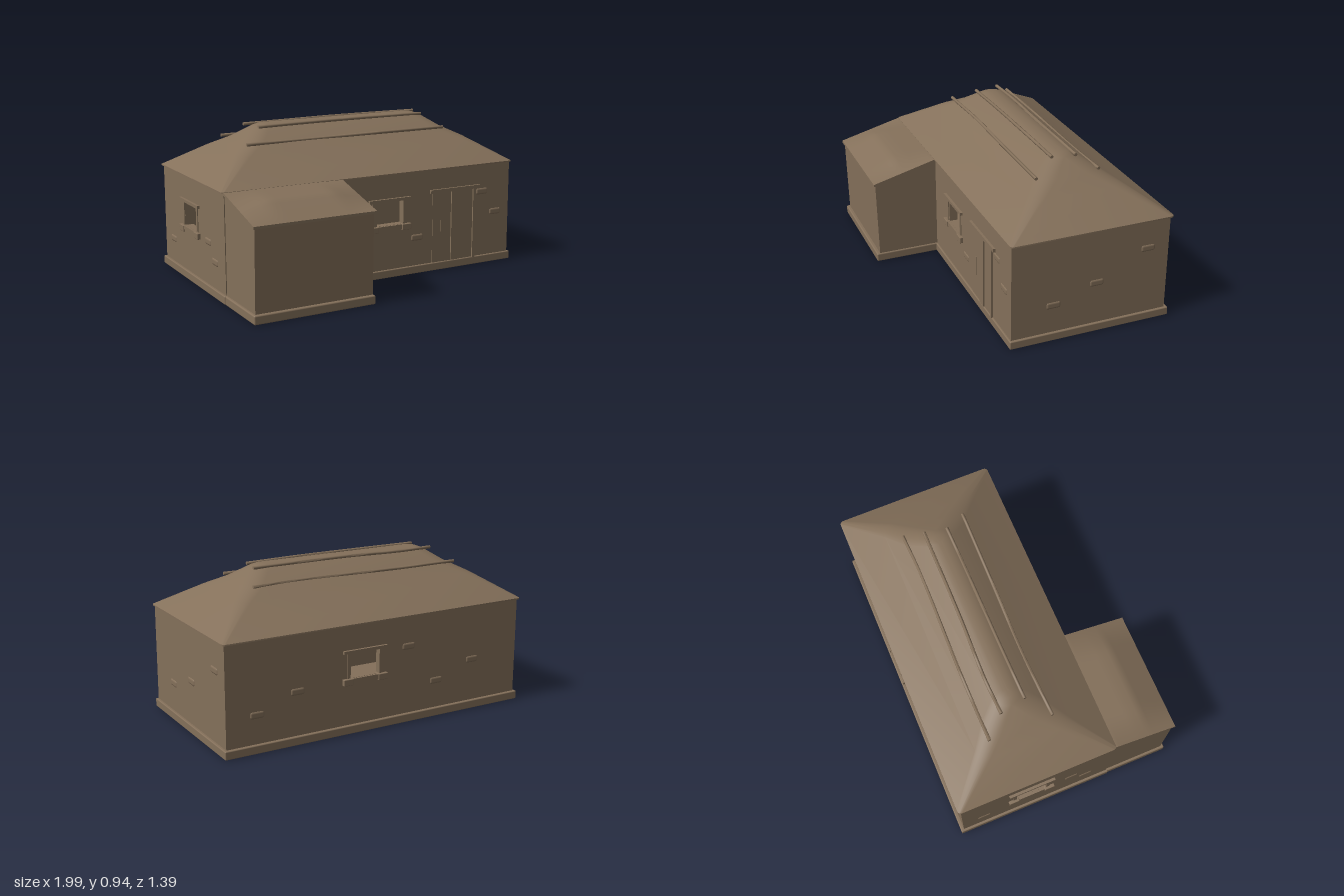
import * as THREE from 'three';
import { toCreasedNormals } from 'three/addons/utils/BufferGeometryUtils.js';
import { RoundedBoxGeometry } from 'three/addons/geometries/RoundedBoxGeometry.js';

const earth = new THREE.MeshStandardMaterial({ color: 0x84705a });
earth.name = 'earthBrown';

function add(parent, name, geometry) {
  const mesh = new THREE.Mesh(geometry, earth);
  mesh.name = name;
  parent.add(mesh);
  return mesh;
}

// Box given by its minimum and maximum corners
function block(parent, name, x0, x1, y0, y1, z0, z1, r = 0) {
  const s = [x1 - x0, y1 - y0, z1 - z0];
  const g = r ? new RoundedBoxGeometry(...s, 2, r) : new THREE.BoxGeometry(...s);
  add(parent, name, g).position.set((x0 + x1) / 2, (y0 + y1) / 2, (z0 + z1) / 2);
}

// Wall in its own plane: u along the wall, v up, outer face at local z = 0
function wall(parent, name, u0, u1, hole) {
  const shape = new THREE.Shape();
  shape.moveTo(u0, 0.03).lineTo(u1, 0.03).lineTo(u1, 0.643).lineTo(u0, 0.643).closePath();
  if (hole) {
    const [a, b] = hole;
    const p = new THREE.Path();
    p.moveTo(a, 0.33).lineTo(a, 0.48).lineTo(b, 0.48).lineTo(b, 0.33).closePath();
    shape.holes.push(p);
  }
  const g = new THREE.ExtrudeGeometry(shape, { depth: 0.05, bevelEnabled: false });
  add(parent, name, g.translate(0, 0, -0.05));
}

// Window surround: lintel, jambs and a sill of three stones
function windowTrim(parent, c) {
  block(parent, 'lintel', c - 0.145, c + 0.145, 0.478, 0.496, -0.03, 0.016);
  for (const s of [-1, 1]) {
    const j = c + s * 0.107, e = c + s * 0.115;
    block(parent, 'windowJamb', j - 0.011, j + 0.011, 0.325, 0.482, -0.03, 0.005);
    block(parent, 'sillStone', e - 0.032, e + 0.032, 0.293, 0.331, -0.03, 0.02, 0.004);
  }
  block(parent, 'sill', c - 0.09, c + 0.09, 0.3, 0.329, -0.03, 0.014);
}

function stones(parent, list) {
  for (const [u, v] of list)
    block(parent, 'wallStone', u - 0.047, u + 0.047, v - 0.024, v + 0.024, -0.04, 0.005, 0.016);
}

// Roof skin through rounded rectangular rings [halfX, halfZ, y]
function ringRoof(rings, zc) {
  const N = 7, M = N * 4, pos = [], idx = [];
  for (const [a, b, y] of rings) {
    const r = Math.min(b, 0.022 + (0.5 - b) * 0.22);
    for (let s = 0; s < 4; s++)
      for (let k = 0; k < N; k++) {
        const t = Math.PI / 2 * (1 - s - k / (N - 1));
        const sx = s < 2 ? 1 : -1, sz = s % 3 ? -1 : 1;
        pos.push(sx * Math.max(0, a - r) + r * Math.cos(t), y, zc + sz * (b - r) + r * Math.sin(t));
      }
  }
  for (let r = 0; r < rings.length - 1; r++)
    for (let i = 0; i < M; i++) {
      const j = (i + 1) % M, A = r * M + i, B = r * M + j;
      idx.push(A, B, B + M, A, B + M, A + M);
    }
  const g = new THREE.BufferGeometry();
  g.setAttribute('position', new THREE.Float32BufferAttribute(pos, 3));
  g.setIndex(idx);
  return toCreasedNormals(g, 0.85);
}

// Height of a piecewise linear profile at z
function sample(points, z) {
  for (let i = 1; i < points.length; i++) {
    const [z0, y0] = points[i - 1], [z1, y1] = points[i];
    if (z <= z1) return y0 + (y1 - y0) * (z - z0) / (z1 - z0);
  }
  return points[points.length - 1][1];
}

// Lean-to roof: sloping slab whose upper side swells towards the middle
function annexRoof() {
  const x0 = -0.983, x1 = -0.235, z0 = 0.25, z1 = 0.698;
  const crown = [[0.25, 0.65], [0.3, 0.647], [0.45, 0.638], [0.52, 0.629], [0.6, 0.59], [0.7, 0.54]];
  const g = new THREE.BoxGeometry(x1 - x0, 1, z1 - z0, 20, 1, 18);
  g.translate((x0 + x1) / 2, 0, (z0 + z1) / 2);
  const p = g.attributes.position;
  for (let i = 0; i < p.count; i++) {
    const x = p.getX(i), z = p.getZ(i);
    const eave = 0.646 - Math.max(0, z - 0.3) * 0.265;
    const rise = Math.min(1, (x - x0) / 0.17, (x1 - x) / 0.17);
    p.setY(i, p.getY(i) > 0 ? eave + (sample(crown, z) - eave) * Math.max(0, rise) : eave - 0.015);
  }
  g.deleteAttribute('normal');
  g.deleteAttribute('uv');
  return toCreasedNormals(g, 0.7);
}

// Slightly crooked roof pole
function pole(points) {
  const curve = new THREE.CatmullRomCurve3(points.map(p => new THREE.Vector3(...p)));
  const shape = new THREE.Shape();
  for (let i = 0; i < 8; i++) {
    const a = i * Math.PI / 4, x = 0.01 * Math.cos(a), y = 0.01 * Math.sin(a);
    if (i) shape.lineTo(x, y); else shape.moveTo(x, y);
  }
  shape.closePath();
  const g = new THREE.ExtrudeGeometry(shape, { steps: 24, extrudePath: curve, bevelEnabled: false });
  g.deleteAttribute('uv');
  return toCreasedNormals(g, 0.9);
}

export function createModel() {
  const house = new THREE.Group();
  house.name = 'house';

  // Raised floor framed by plinth strips, and the annex plinth
  block(house, 'floor', -0.97, 0.97, 0.03, 0.05, -0.665, 0.285);
  for (const z of [-0.69, 0.273]) block(house, 'plinth', -0.993, 0.993, 0.003, 0.053, z, z + 0.03, 0.006);
  for (const x of [-0.993, 0.963]) block(house, 'plinth', x, x + 0.03, 0.003, 0.053, -0.69, 0.303, 0.006);
  block(house, 'annexPlinth', -0.988, -0.24, 0, 0.053, 0.28, 0.697, 0.008);

  // One group per side of the main room
  const side = (name, x, z, turn) => {
    const g = new THREE.Group();
    g.name = name;
    g.position.set(x, 0, z);
    g.rotation.y = turn;
    house.add(g);
    return g;
  };

  const front = side('frontSide', 0, 0.293, 0);
  wall(front, 'frontWall', -0.978, 0.978, [0.004, 0.192]);
  windowTrim(front, 0.09);
  stones(front, [[0.29, 0.23], [0.875, 0.33], [0.77, 0.47]]);

  // Door with raised plank, posts and lintel
  block(front, 'door', 0.4, 0.71, 0.05, 0.497, -0.01, 0.003);
  block(front, 'doorPlank', 0.535, 0.593, 0.055, 0.495, -0.01, 0.012);
  block(front, 'doorPost', 0.698, 0.718, 0.05, 0.497, -0.01, 0.012);
  block(front, 'doorHandle', 0.46, 0.468, 0.2, 0.32, -0.01, 0.007);
  block(front, 'doorLintel', 0.38, 0.75, 0.495, 0.517, -0.02, 0.014);

  const back = side('backSide', 0, -0.671, Math.PI);
  wall(back, 'backWall', -0.978, 0.978, [-0.205, 0.0]);
  windowTrim(back, -0.108);
  stones(back, [[-0.79, 0.22], [-0.54, 0.31], [0.19, 0.46], [0.39, 0.22], [0.65, 0.31]]);

  const right = side('positiveXSide', 0.978, 0, Math.PI / 2);
  wall(right, 'sideWall', -0.293, 0.671, null);
  stones(right, [[-0.038, 0.225], [0.225, 0.312], [0.54, 0.468]]);

  const left = side('negativeXSide', -0.978, 0, -Math.PI / 2);
  wall(left, 'sideWall', -0.671, 0.293, [-0.32, -0.13]);
  windowTrim(left, -0.225);
  stones(left, [[-0.53, 0.2], [0.04, 0.31], [0.14, 0.21]]);

  // Annex body from its side profile
  const profile = new THREE.Shape();
  profile.moveTo(-0.29, 0.03).lineTo(-0.29, 0.638).lineTo(-0.686, 0.533).lineTo(-0.676, 0.03).closePath();
  const annex = new THREE.ExtrudeGeometry(profile, { depth: 0.725, bevelEnabled: false });
  annex.rotateY(Math.PI / 2).translate(-0.973, 0, 0);
  add(house, 'annexWalls', annex);
  add(house, 'annexRoof', annexRoof());

  // Hipped main roof as a thin shell, open to the room below
  const slope = [
    [0.993, 0.496, 0.648], [0.79, 0.28, 0.79], [0.685, 0.185, 0.848],
    [0.585, 0.08, 0.92], [0.545, 0.045, 0.934], [0.5, 0.015, 0.937], [0, 0, 0.938],
  ];
  const lining = slope.slice(1).reverse().map(([a, b, y]) => [a, b, y - 0.02]);
  add(house, 'roof', ringRoof([
    ...lining, [0.965, 0.468, 0.64], [0.993, 0.496, 0.64], ...slope,
  ], -0.193));

  // Poles lying along the slopes
  const poles = [
    [[-0.71, 0.847, 0.008], [-0.3, 0.845, -0.006], [0.1, 0.848, 0.002], [0.655, 0.85, 0.01]],
    [[-0.58, 0.926, -0.11], [-0.2, 0.929, -0.116], [0.2, 0.93, -0.118], [0.57, 0.926, -0.122]],
    [[-0.61, 0.926, -0.265], [-0.38, 0.926, -0.273], [0, 0.931, -0.262], [0.595, 0.928, -0.258]],
    [[-0.71, 0.849, -0.378], [-0.3, 0.849, -0.38], [0.4, 0.853, -0.366], [0.655, 0.85, -0.376]],
  ];
  for (const p of poles) add(house, 'roofPole', pole(p));

  return house;
}
